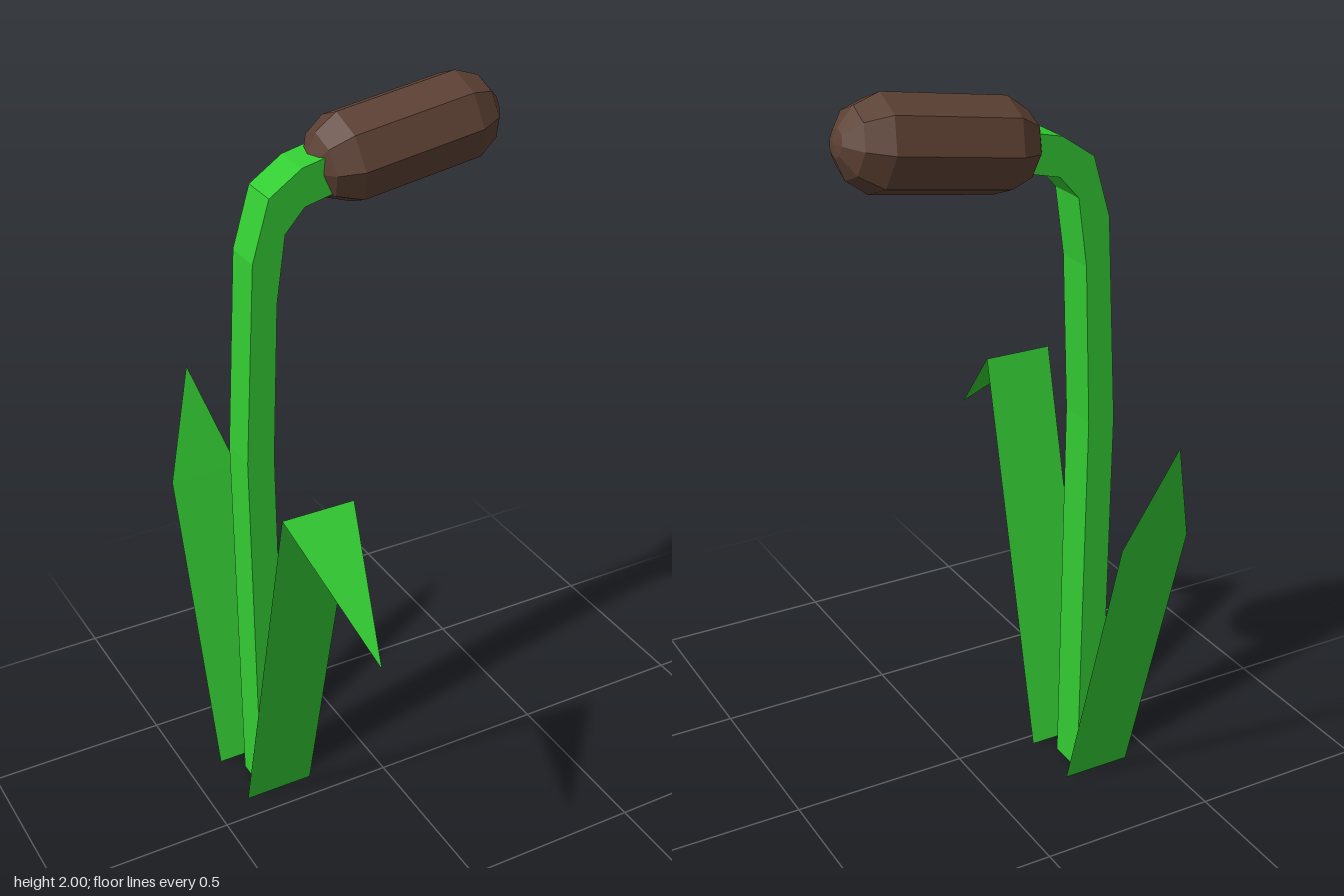
import * as THREE from 'three';

const STEM_X = -0.31;
const STEM_Z = -0.147;

function material(color, side = THREE.FrontSide) {
  return new THREE.MeshStandardMaterial({ color, side, flatShading: true });
}

// Flat blade: a strip from base to shoulder, then a triangle to the tip.
// Each argument is a [y, z] pair.
function makeLeaf(name, base, shoulder, tip, mat) {
  const half = 0.098;
  const at = ([y, z], x) => [STEM_X + x, y, z];
  const geometry = new THREE.BufferGeometry();
  geometry.setAttribute('position', new THREE.Float32BufferAttribute([
    ...at(base, -half), ...at(base, half),
    ...at(shoulder, -half), ...at(shoulder, half),
    ...at(tip, 0),
  ], 3));
  geometry.setIndex([0, 1, 3, 0, 3, 2, 2, 3, 4]);
  const flat = geometry.toNonIndexed();
  flat.computeVertexNormals();
  const leaf = new THREE.Mesh(flat, mat);
  leaf.name = name;
  return leaf;
}

export function createModel() {
  const group = new THREE.Group();
  group.name = 'cattail';
  const stemGreen = material(0x33cc33);
  const leafGreen = material(0x33cc33, THREE.DoubleSide);
  const brown = material(0x5c4033);

  // Square stem, bending over at the top
  const depth = 0.11;
  const inner = [[-0.27, 0], [-0.27, 1.08], [-0.248, 1.51], [-0.22, 1.69], [-0.165, 1.75], [-0.06, 1.775]];
  const outer = [[-0.348, 0], [-0.346, 1.08], [-0.31, 1.63], [-0.26, 1.79], [-0.17, 1.85], [-0.06, 1.875]];
  const outline = [...inner, ...outer.reverse()].map(([x, y]) => new THREE.Vector2(x, y));
  const stem = new THREE.Mesh(
    new THREE.ExtrudeGeometry(new THREE.Shape(outline), { depth, bevelEnabled: false }), stemGreen);
  stem.name = 'stem';
  stem.position.z = STEM_Z - depth / 2;
  group.add(stem);

  // Eight-sided seed head with rounded ends
  const cap = [[0, 0.27], [0.035, 0.263], [0.087, 0.23], [0.12, 0.167]];
  const profile = [...cap.map(([r, h]) => [r, -h]), ...cap.reverse()]
    .map(([r, h]) => new THREE.Vector2(r, h));
  const head = new THREE.Mesh(new THREE.LatheGeometry(profile, 8), brown);
  head.name = 'seedHead';
  head.position.set(0.135, 1.858, STEM_Z);
  head.rotation.z = -Math.PI / 2 + 0.148;
  group.add(head);

  // Front leaf folds over, back leaf stays straight
  group.add(makeLeaf('frontLeaf', [0.015, -0.055], [1.11, 0.232], [0.84, 0.547], leafGreen));
  group.add(makeLeaf('backLeaf', [0.015, -0.238], [0.845, -0.465], [1.145, -0.55], leafGreen));

  return group;
}
